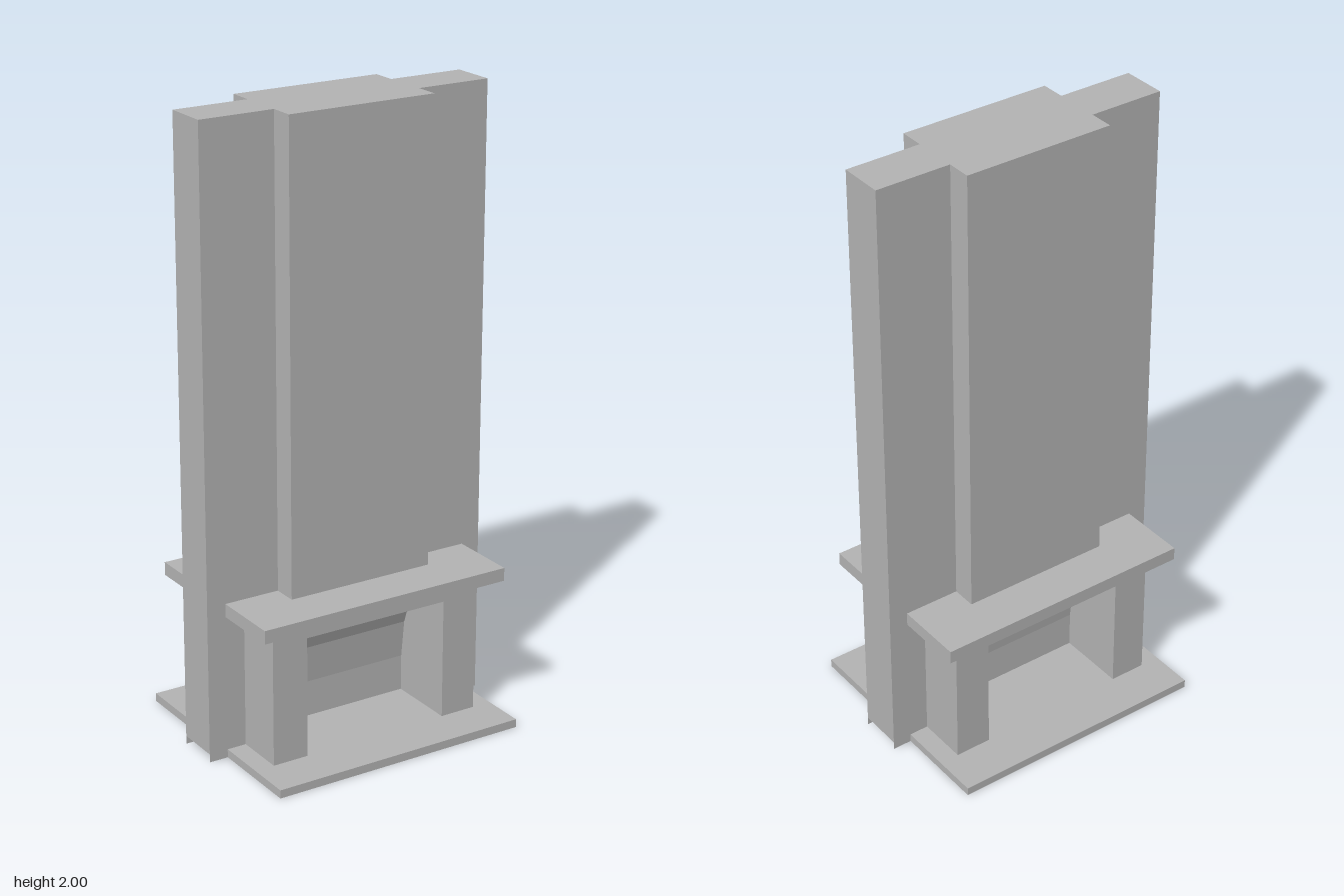
import * as THREE from 'three';

const masonry = new THREE.MeshStandardMaterial({ color: 0xb3b3b3, side: THREE.DoubleSide });
masonry.name = 'grey masonry';

function add(group, name, geometry) {
  const mesh = new THREE.Mesh(geometry, masonry);
  mesh.name = name;
  group.add(mesh);
  return mesh;
}

function box(group, name, x0, x1, y0, y1, z0, z1) {
  const g = new THREE.BoxGeometry(x1 - x0, y1 - y0, z1 - z0);
  g.translate((x0 + x1) / 2, (y0 + y1) / 2, (z0 + z1) / 2);
  return add(group, name, g);
}

// Thin four-cornered face
function sheet(group, name, a, b, c, d) {
  const g = new THREE.BufferGeometry();
  g.setAttribute('position', new THREE.Float32BufferAttribute([a, b, c, a, c, d].flat(), 3));
  g.computeVertexNormals();
  return add(group, name, g);
}
const sheetZ = (g, n, x0, x1, y0, y1, z) => sheet(g, n, [x0, y0, z], [x1, y0, z], [x1, y1, z], [x0, y1, z]);
const sheetX = (g, n, x, y0, y1, z0, z1) => sheet(g, n, [x, y0, z1], [x, y0, z0], [x, y1, z0], [x, y1, z1]);
const sheetY = (g, n, x0, x1, y, z0, z1) => sheet(g, n, [x0, y, z1], [x1, y, z1], [x1, y, z0], [x0, y, z0]);

// Plan outline given as [x, z] points, raised from y0 to y1
function slab(group, name, points, y0, y1) {
  const shape = new THREE.Shape(points.map(([x, z]) => new THREE.Vector2(x, -z)));
  const g = new THREE.ExtrudeGeometry(shape, { depth: y1 - y0, bevelEnabled: false });
  g.rotateX(-Math.PI / 2);
  g.translate(0, y0, 0);
  return add(group, name, g);
}

const W = 0.495, D = 0.073;                  // wall half width and half depth
const IN = 0.248, OUT = 0.368, LEG = 0.24;   // leg inner, outer and front faces
const BASE = 0.027, HEAD = 0.42, SHELF = 0.47, TOP = 0.513;

// One complete fireplace facing +z
function fireplace(name) {
  const g = new THREE.Group();
  g.name = name;

  // Hearth, open beneath the hollow legs
  const half = [[0.432, 0.383], [0.432, D], [OUT, D], [OUT, LEG], [IN, LEG], [IN, D]];
  slab(g, 'hearth', [...half, ...half.map(([x, z]) => [-x, z]).reverse()], 0, BASE);
  box(g, 'mantelShelf', -0.432, 0.432, SHELF, TOP, D, 0.302);
  box(g, 'lintel', -IN, IN, HEAD, SHELF, 0.19, LEG);

  for (const s of [-1, 1]) {
    // Hollow leg and the wall beside it
    sheetZ(g, 'legFront', s * IN, s * OUT, BASE, SHELF, LEG);
    sheetX(g, 'legOuterSide', s * OUT, BASE, SHELF, D, LEG);
    sheetX(g, 'fireboxSide', s * IN, BASE, SHELF, 0, LEG);
    sheetZ(g, 'wallFace', s * OUT, s * W, 0, TOP, D);
    sheetX(g, 'wallEnd', s * W, BASE, TOP, 0, D);
    // Ceiling beside the flue and flue cheeks
    sheetY(g, 'fireboxCeiling', s * 0.13, s * IN, HEAD, 0.05, 0.19);
    sheetX(g, 'flueSide', s * 0.13, HEAD, TOP, 0.05, 0.19);
  }
  sheetY(g, 'fireboxFloor', -IN, IN, BASE - 0.001, 0, D);

  // Firebox back, leaning forward in steps towards the flue
  const profile = [[BASE, 0.01], [0.145, 0.01], [0.27, 0.025], [0.34, 0.05], [SHELF, 0.05]];
  for (let i = 0; i < profile.length - 1; i++) {
    const [y0, z0] = profile[i], [y1, z1] = profile[i + 1];
    sheet(g, 'fireboxBack', [-IN, y0, z0], [IN, y0, z0], [IN, y1, z1], [-IN, y1, z1]);
  }
  return g;
}

export function createModel() {
  const model = new THREE.Group();
  model.name = 'doubleSidedFireplace';

  // Upper wall with a chimney breast on both sides
  const q = [[W, D], [W, -D], [IN, -D], [IN, -0.153]];
  const right = [[IN, 0.153], [IN, D], ...q];
  slab(model, 'chimneyWall', [...right, ...right.map(([x, z]) => [-x, z]).reverse()], TOP, 2);

  const front = fireplace('frontFireplace');
  const back = fireplace('backFireplace');
  back.rotation.y = Math.PI;
  model.add(front, back);
  return model;
}
